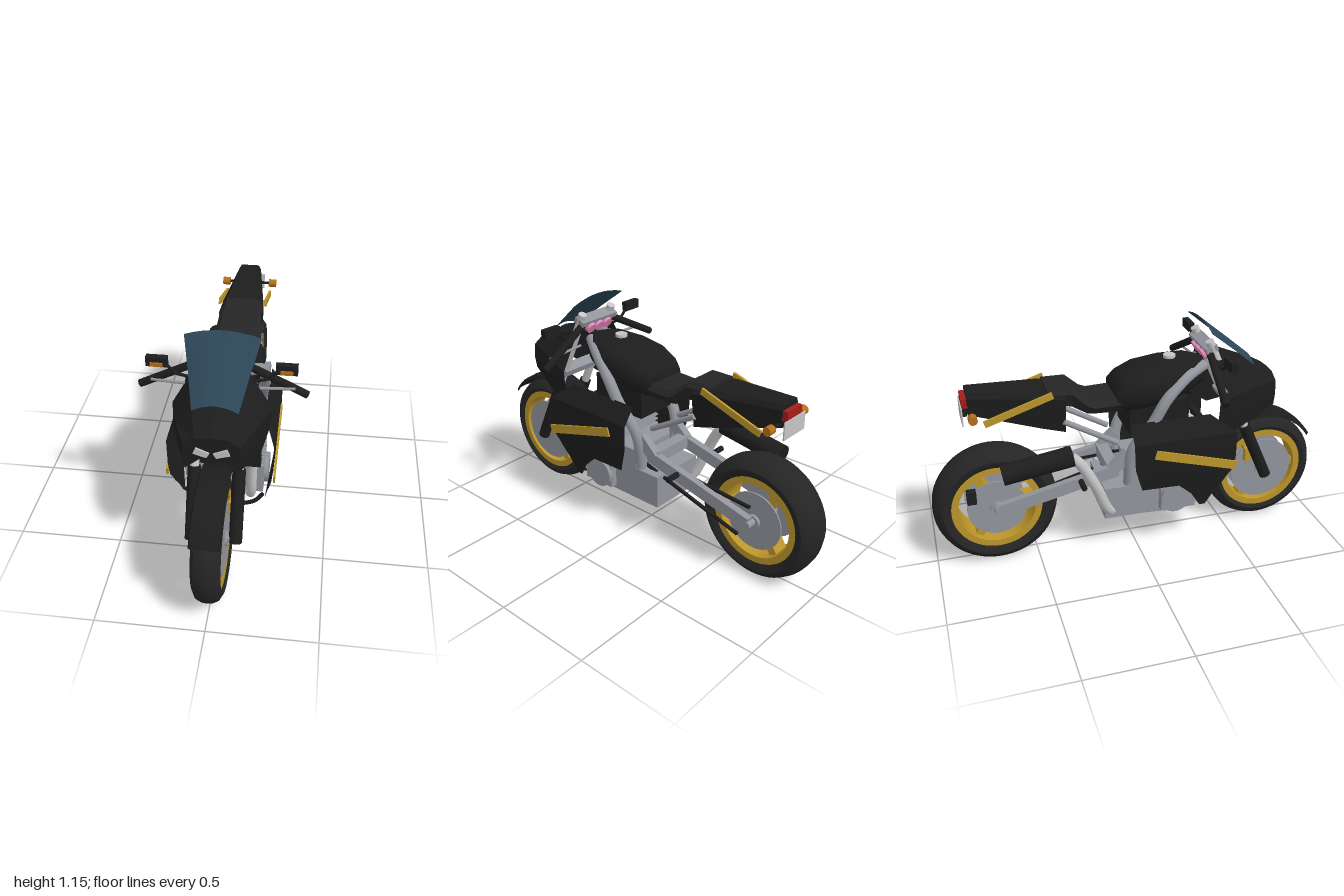
import * as THREE from 'three';
import { toCreasedNormals } from 'three/addons/utils/BufferGeometryUtils.js';

const V = (x, y, z) => new THREE.Vector3(x, y, z);
const paint = (name, color, side = THREE.DoubleSide) => {
  const m = new THREE.MeshStandardMaterial({ color, side });
  m.name = name;
  return m;
};

export function createModel() {
  const black = paint('bodyBlack', 0x1d1d1d), rubber = paint('rubber', 0x252525);
  const gold = paint('gold', 0xbd962b), grey = paint('castGrey', 0x92959c);
  const silver = paint('silver', 0xc4c4c6), glass = paint('tintedGlass', 0x2c4656);
  const orange = paint('signalOrange', 0xb4701c), red = paint('tailRed', 0xa61c1c);
  const pink = paint('dialPink', 0xe588bd);
  const bike = new THREE.Group();
  bike.name = 'motorcycle';

  const add = (name, geo, mat, x = 0, y = 0, z = 0, parent = bike) => {
    const m = new THREE.Mesh(geo, mat);
    m.name = name;
    m.position.set(x, y, z);
    parent.add(m);
    return m;
  };
  const box = (name, mat, w, h, d, x, y, z, parent) =>
    add(name, new THREE.BoxGeometry(w, h, d), mat, x, y, z, parent);
  const disc = (name, mat, r, w, x, y, z, parent, n = 32) =>
    add(name, new THREE.CylinderGeometry(r, r, w, n).rotateZ(Math.PI / 2), mat, x, y, z, parent);
  // Round rod between two points
  const rod = (name, mat, a, b, r, n = 16) => {
    const m = add(name, new THREE.CylinderGeometry(r, r, a.distanceTo(b), n), mat);
    m.position.lerpVectors(a, b, 0.5);
    m.quaternion.setFromUnitVectors(V(0, 1, 0), b.clone().sub(a).normalize());
    return m;
  };
  // Rectangular beam between two points
  const beam = (name, mat, a, b, w, h) => {
    const m = box(name, mat, w, h, a.distanceTo(b), 0, 0, 0);
    m.position.lerpVectors(a, b, 0.5);
    m.lookAt(b);
    return m;
  };
  const pipe = (name, mat, pts, r) =>
    add(name, new THREE.TubeGeometry(new THREE.CatmullRomCurve3(pts), 32, r, 12), mat);
  // Surface through rows of points
  const skin = (name, mat, rows, crease = 0.3) => {
    const n = rows[0].length, g = new THREE.BufferGeometry(), idx = [];
    for (let i = 0; i < rows.length - 1; i++) for (let j = 0; j < n - 1; j++) {
      const a = i * n + j, b = a + n;
      idx.push(a, b, a + 1, b, b + 1, a + 1);
    }
    g.setAttribute('position', new THREE.Float32BufferAttribute(rows.flat().flatMap(p => p.toArray()), 3));
    g.setIndex(idx);
    return add(name, toCreasedNormals(g, crease), mat);
  };
  const centreRow = row => row.map(() => row.reduce((s, p) => s.add(p), V(0, 0, 0)).divideScalar(row.length));
  const capped = rows => [centreRow(rows[0]), ...rows, centreRow(rows.at(-1))];
  const bothSides = fn => [-1, 1].forEach(fn);

  // Wheels
  const lathe = (pts, crease) => toCreasedNormals(
    new THREE.LatheGeometry(pts.map(p => new THREE.Vector2(...p)), 56), crease).rotateZ(Math.PI / 2);
  const wheel = (name, y, z, R, w, rim, discR) => {
    const g = new THREE.Group();
    g.name = name;
    g.position.set(0, y, z);
    bike.add(g);
    add('tyre', lathe([[rim, -w * 0.8], [rim + 0.025, -w * 0.97], [R - 0.045, -w], [R - 0.015, -w * 0.75],
      [R - 0.002, -w * 0.35], [R, 0], [R - 0.002, w * 0.35], [R - 0.015, w * 0.75], [R - 0.045, w],
      [rim + 0.025, w * 0.97], [rim, w * 0.8]], 0.6), rubber, 0, 0, 0, g);
    const i = rim - 0.03, o = rim + 0.003, rw = w * 0.82;
    add('rim', lathe([[i, -rw], [o, -rw], [o, rw], [i, rw], [i, -rw]], 0.5), gold, 0, 0, 0, g);
    for (let k = 0; k < 3; k++) {
      const t = k * Math.PI * 2 / 3, s = box('spoke', gold, w * 0.9, 0.04, rim - 0.03, 0, 0, 0, g);
      s.position.set(0, Math.sin(t) * rim / 2, Math.cos(t) * rim / 2);
      s.rotation.x = -t;
    }
    bothSides(s => disc('brakeDisc', grey, discR, 0.008, s * w * 0.78, 0, 0, g, 48));
    disc('hub', grey, 0.035, w * 2, 0, 0, 0, g);
  };
  wheel('frontWheel', 0.29, 0.71, 0.29, 0.066, 0.222, 0.168);
  wheel('rearWheel', 0.305, -0.69, 0.305, 0.092, 0.218, 0.145);

  // Front mudguard
  const guard = [];
  for (let i = 0; i <= 16; i++) {
    const t = 0.6 + i * (2.4 - 0.6) / 16, r = 0.318 + 0.018 * i / 16;
    guard.push([-1, -0.9, -0.45, 0, 0.45, 0.9, 1].map(u => {
      const q = r - (Math.abs(u) === 1 ? 0.022 : Math.abs(u) * 0.006);
      return V(u * 0.07, 0.29 + q * Math.sin(t), 0.71 + q * Math.cos(t));
    }));
  }
  skin('frontMudguard', black, guard);

  // Fork, calipers, handlebar, mirrors
  bothSides(s => {
    const low = V(s * 0.1, 0.275, 0.715), mid = V(s * 0.1, 0.585, 0.575), top = V(s * 0.1, 1.06, 0.365);
    rod('forkLowerLeg', black, low, mid, 0.03);
    rod('forkUpperTube', silver, mid, top, 0.021);
    box('frontCaliper', gold, 0.03, 0.07, 0.04, s * 0.075, 0.4, 0.62);
    rod('handlebar', black, V(s * 0.375, 0.85, 0.35), V(s * 0.1, 1.0, 0.37), 0.018);
    rod('lever', grey, V(s * 0.32, 0.89, 0.37), V(s * 0.1, 0.89, 0.39), 0.007, 8);
    rod('mirrorStem', black, V(s * 0.24, 0.99, 0.4), V(s * 0.2, 0.95, 0.4), 0.007, 8);
    rod('mirrorStem', black, V(s * 0.2, 0.95, 0.4), V(s * 0.11, 0.935, 0.41), 0.007, 8);
    box('mirror', black, 0.095, 0.045, 0.03, s * 0.282, 1.008, 0.4);
    box('mirrorSignal', orange, 0.055, 0.018, 0.012, s * 0.282, 0.998, 0.416);
  });
  rod('frontAxle', grey, V(-0.12, 0.29, 0.71), V(0.12, 0.29, 0.71), 0.015);
  box('topClamp', grey, 0.24, 0.03, 0.06, 0, 1.02, 0.375).rotation.x = -0.4;
  box('lowerClamp', grey, 0.24, 0.035, 0.06, 0, 0.72, 0.515).rotation.x = -0.4;
  [-0.055, 0, 0.055].forEach(x => {
    add('dial', new THREE.CylinderGeometry(0.028, 0.028, 0.03, 20).rotateX(Math.PI / 2 - 0.5), pink, x, 0.985, 0.36);
  });

  // Nose fairing
  const nose = [
    [0.72, [0, 0.855], [0.07, 0.85], [0.12, 0.82], [0.125, 0.75], [0.115, 0.69]],
    [0.6, [0, 0.93], [0.1, 0.9], [0.168, 0.825], [0.17, 0.75], [0.15, 0.645]],
    [0.48, [0, 0.94], [0.115, 0.945], [0.205, 0.81], [0.208, 0.74], [0.185, 0.605]],
    [0.385, [0, 0.93], [0.12, 0.975], [0.225, 0.785], [0.222, 0.74], [0.212, 0.665]],
  ].map(([z, ...half]) => [...half.slice(1).reverse().map(([x, y]) => V(-x, y, z)), ...half.map(([x, y]) => V(x, y, z))]);
  skin('noseFairing', black, [centreRow(nose[0]), ...nose]);
  bothSides(s => {
    const shape = new THREE.Shape([[0.008, 0.78], [0.066, 0.805], [0.078, 0.775], [0.02, 0.757]]
      .map(([x, y]) => new THREE.Vector2(s * x, y)));
    add('headlight', new THREE.ExtrudeGeometry(shape, { depth: 0.008, bevelEnabled: false }), silver, 0, 0, 0.72);
  });

  // Windscreen
  skin('windscreen', glass, [[0.1, 0.937, 0.61], [0.132, 1.045, 0.48], [0.168, 1.15, 0.35]].map(([w, y, z]) =>
    [-1, -0.75, -0.5, -0.25, 0, 0.25, 0.5, 0.75, 1].map(t => V(t * w, y - 0.03 * t * t, z))), 0.8);

  // Side fairings: rows of height, front z, rear z, offset
  bothSides(s => {
    skin('sideFairing', black, [
      [0.72, 0.35, -0.05, 0.19], [0.63, 0.475, -0.045, 0.245], [0.5, 0.475, -0.04, 0.243], [0.43, 0.47, -0.02, 0.235],
      [0.37, 0.43, 0.0, 0.225], [0.365, 0.43, 0.19, 0.224], [0.3, 0.385, 0.26, 0.212], [0.22, 0.34, 0.31, 0.2],
    ].map(([y, f, r, x]) => [V(s * x, y, f), V(s * x, y, r)]));
    beam('sideStripe', gold, V(s * 0.248, 0.45, 0.475), V(s * 0.248, 0.57, 0.06), 0.009, 0.045);
    pipe('bellyRail', black, [V(s * 0.19, 0.25, 0.35), V(s * 0.15, 0.21, 0.36), V(s * 0.07, 0.18, 0.36)], 0.01);
  });

  // Tank and filler cap
  const ring = (z, cy, h, w) => Array.from({ length: 25 }, (_, i) => {
    const t = -i / 24 * Math.PI * 2, p = q => Math.sign(q) * Math.abs(q) ** 0.8;
    return V(w * p(Math.cos(t)), cy + h * p(Math.sin(t)), z);
  });
  skin('fuelTank', black, capped([ring(0.36, 0.89, 0.06, 0.08), ring(0.29, 0.885, 0.08, 0.13),
    ring(0.17, 0.86, 0.1, 0.163), ring(0.04, 0.842, 0.102, 0.16), ring(-0.05, 0.82, 0.09, 0.135),
    ring(-0.09, 0.81, 0.068, 0.11)]), 0.9);
  add('fillerCap', new THREE.CylinderGeometry(0.03, 0.03, 0.015, 24), silver, 0, 0.967, 0.2);

  // Seat and tail: z, half width, top, bottom
  const hull = ([z, w, t, b]) => [[-w * 0.8, b], [-w, t - 0.025], [-w * 0.8, t], [w * 0.8, t], [w, t - 0.025],
    [w * 0.8, b], [-w * 0.8, b]].map(([x, y]) => V(x, y, z));
  skin('seat', rubber, capped([[-0.05, 0.12, 0.82, 0.75], [-0.2, 0.12, 0.815, 0.755], [-0.235, 0.118, 0.83, 0.76],
    [-0.305, 0.105, 0.895, 0.8], [-0.42, 0.1, 0.898, 0.83]].map(hull)));
  skin('tail', black, capped([[-0.34, 0.115, 0.875, 0.675], [-0.45, 0.105, 0.89, 0.705],
    [-0.785, 0.06, 0.915, 0.805]].map(hull)));
  box('tailLight', red, 0.11, 0.045, 0.03, 0, 0.865, -0.795);
  box('plateHolder', black, 0.04, 0.07, 0.02, 0, 0.82, -0.795);
  box('plate', silver, 0.16, 0.085, 0.006, 0, 0.806, -0.812);
  rod('signalStem', black, V(-0.12, 0.818, -0.77), V(0.12, 0.818, -0.77), 0.008, 8);
  bothSides(s => {
    disc('rearSignal', orange, 0.021, 0.04, s * 0.128, 0.818, -0.77, bike, 16);
    beam('tailStripe', gold, V(s * 0.118, 0.885, -0.4), V(s * 0.118, 0.78, -0.72), 0.012, 0.032);
    rod('subframeTube', grey, V(s * 0.1, 0.585, -0.09), V(s * 0.1, 0.735, -0.35), 0.014);
  });

  // Frame, swingarm, footpegs
  bothSides(s => {
    pipe('frameBeam', grey, [V(s * 0.05, 0.92, 0.36), V(s * 0.125, 0.9, 0.25), V(s * 0.168, 0.82, 0.14),
      V(s * 0.165, 0.7, 0.07), V(s * 0.145, 0.55, -0.03), V(s * 0.12, 0.36, -0.04)], 0.028);
    beam('swingarmFront', grey, V(s * 0.12, 0.53, -0.04), V(s * 0.12, 0.445, -0.13), 0.04, 0.06);
    beam('swingarm', grey, V(s * 0.12, 0.45, -0.1), V(s * 0.12, 0.315, -0.69), 0.035, 0.062);
    rod('footpeg', black, V(s * 0.13, 0.42, -0.285), V(s * 0.21, 0.42, -0.285), 0.014);
  });
  box('swingarmBridge', grey, 0.24, 0.06, 0.06, 0, 0.45, -0.12);
  rod('rearAxle', grey, V(-0.14, 0.31, -0.69), V(0.14, 0.31, -0.69), 0.02);
  box('rearCaliper', black, 0.04, 0.065, 0.045, -0.1, 0.4, -0.81);
  beam('chainUpper', black, V(0.1, 0.43, 0), V(0.1, 0.385, -0.68), 0.015, 0.012);
  beam('chainLower', black, V(0.1, 0.39, 0), V(0.1, 0.215, -0.62), 0.015, 0.012);

  // Engine, radiator
  box('crankcase', grey, 0.3, 0.17, 0.36, 0, 0.275, 0.01);
  box('upperCase', grey, 0.3, 0.12, 0.22, 0, 0.4, 0.08);
  box('frontCase', grey, 0.37, 0.16, 0.18, 0, 0.29, 0.2);
  bothSides(s => disc('caseCover', grey, 0.075, 0.03, s * 0.19, 0.28, 0.18));
  box('cylinderBlock', grey, 0.3, 0.3, 0.17, 0, 0.5, 0.2).rotation.x = 0.15;
  for (let i = 0; i < 7; i++) box('coolingFin', grey, 0.37, 0.009, 0.2, 0, 0.39 + i * 0.025, 0.22);
  box('airbox', black, 0.22, 0.16, 0.3, 0, 0.7, 0.12);
  box('radiator', black, 0.36, 0.14, 0.03, 0, 0.53, 0.39);

  // Exhaust headers, link pipe and silencer
  [-0.14, -0.05, 0.05, 0.14].forEach(x => pipe('exhaustHeader', silver, [V(x * 1.15, 0.6, 0.28), V(x * 1.1, 0.58, 0.35),
    V(x, 0.42, 0.36), V(x * 0.95, 0.25, 0.34), V(x * 0.8, 0.185, 0.26), V(x * 0.5 - 0.03, 0.18, 0.08),
    V(-0.08 + x * 0.15, 0.19, -0.08)], 0.022));
  pipe('linkPipe', silver, [V(-0.08, 0.19, -0.06), V(-0.14, 0.24, -0.15), V(-0.17, 0.4, -0.22),
    V(-0.17, 0.53, -0.29), V(-0.17, 0.585, -0.34)], 0.027);
  rod('silencer', black, V(-0.17, 0.585, -0.33), V(-0.17, 0.535, -0.665), 0.05, 24);
  return bike;
}
